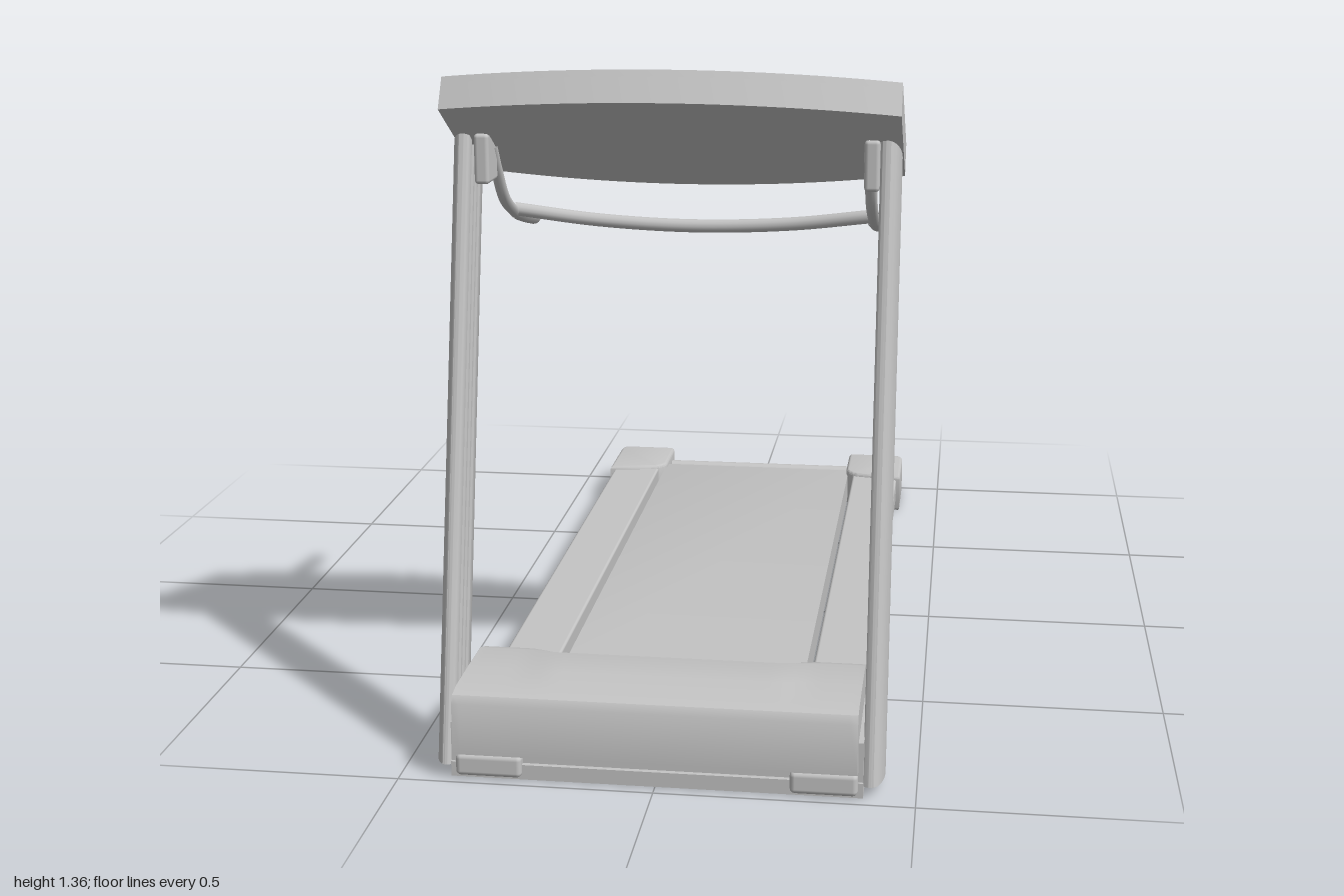
import * as THREE from 'three';
import { toCreasedNormals } from 'three/addons/utils/BufferGeometryUtils.js';
import { RoundedBoxGeometry } from 'three/addons/geometries/RoundedBoxGeometry.js';
import { ParametricGeometry } from 'three/addons/geometries/ParametricGeometry.js';

const V = (x, y, z) => new THREE.Vector3(x, y, z);
const shapeOf = pts => new THREE.Shape(pts.map(p => new THREE.Vector2(p[0], p[1])));

// Plan outline (x, z) extruded downward from the height top
function planExtrude(shape, top, depth, bevel = 0) {
  const g = new THREE.ExtrudeGeometry(shape, {
    depth: depth - 2 * bevel, bevelEnabled: bevel > 0, bevelSize: bevel, bevelOffset: -bevel,
    bevelThickness: bevel, bevelSegments: 3, curveSegments: 24,
  });
  g.rotateX(Math.PI / 2).translate(0, top - bevel, 0);
  return toCreasedNormals(g, 0.6);
}

// Side outline (z, y) extruded across x between x0 and x1
function sideExtrude(pts, x0, x1) {
  const g = new THREE.ExtrudeGeometry(shapeOf(pts), { depth: x1 - x0, bevelEnabled: false });
  g.rotateY(-Math.PI / 2).translate(x1, 0, 0);
  return g;
}

const tube = (pts, r, n = 40) =>
  new THREE.TubeGeometry(new THREE.CatmullRomCurve3(pts), n, r, 12, false);

// Console outline with bowed front and rear edges, inset by i
function consoleOutline(P, i) {
  const s = new P();
  s.moveTo(-0.44 + i, -0.345 + i);
  s.quadraticCurveTo(0, -0.485 + i, 0.44 - i, -0.345 + i);
  s.lineTo(0.44 - i, -0.045 - i);
  s.quadraticCurveTo(0, 0.045 - i, -0.44 + i, -0.045 - i);
  s.closePath();
  return s;
}

export function createModel() {
  const model = new THREE.Group();
  model.name = 'treadmill';
  const grey = new THREE.MeshStandardMaterial({ color: 0xc4c4c4, side: THREE.DoubleSide });
  grey.name = 'light grey';
  const add = (name, geo, x = 0, y = 0, z = 0, parent = model) => {
    const m = new THREE.Mesh(geo, grey);
    m.name = name;
    m.position.set(x, y, z);
    parent.add(m);
    return m;
  };
  const box = (name, w, h, d, x, y, z, parent) =>
    add(name, new THREE.BoxGeometry(w, h, d), x, y, z, parent);
  const roller = (name, r, len, y, z) =>
    add(name, new THREE.CylinderGeometry(r, r, len, 24).rotateZ(Math.PI / 2), 0, y, z);

  // Running belt with rounded rear end, and the rear roller
  add('runningBelt', toCreasedNormals(sideExtrude([
    [0.66, 0.018], [0.66, 0.085], [-0.885, 0.085], [-0.905, 0.076], [-0.915, 0.052],
    [-0.905, 0.028], [-0.885, 0.018],
  ], -0.255, 0.255), 0.9));
  roller('rearRoller', 0.024, 0.54, 0.052, -0.95);

  // Base tray under the motor
  add('baseTray', sideExtrude([[0.975, 0.005], [0.975, 0.035], [0.54, 0.035], [0.54, 0.012], [0.6, 0.005]], -0.4, 0.4));
  box('frontCrossMember', 0.76, 0.05, 0.03, 0, 0.045, 0.95);

  // Motor hood: a cross-section that changes from the scooped middle to the raised shoulders
  const shoulder = [[0.975, 0.055], [1, 0.062], [1, 0.165], [0.99, 0.18], [0.96, 0.186],
    [0.86, 0.187], [0.76, 0.185], [0.72, 0.172], [0.66, 0.138], [0.615, 0.112], [0.585, 0.098], [0.56, 0.085]];
  const middle = [[0.975, 0.055], [1, 0.062], [1, 0.165], [0.99, 0.18], [0.96, 0.186],
    [0.88, 0.191], [0.79, 0.195], [0.765, 0.183], [0.73, 0.14], [0.69, 0.108], [0.655, 0.092], [0.63, 0.085]];
  const last = shoulder.length - 1;
  const hood = new ParametricGeometry((u, v, out) => {
    const x = (u * 2 - 1) * 0.39, k = THREE.MathUtils.smoothstep(Math.abs(x), 0.21, 0.3);
    const i = Math.round(v * last), a = middle[i], b = shoulder[i];
    out.set(x, a[1] + (b[1] - a[1]) * k, a[0] + (b[0] - a[0]) * k);
  }, 52, last);
  add('motorHood', toCreasedNormals(hood, 0.6));

  for (const s of [1, -1]) {
    const side = new THREE.Group();
    side.name = s > 0 ? 'leftSide' : 'rightSide';
    model.add(side);
    const put = (name, geo, x = 0, y = 0, z = 0) => add(name, geo, x, y, z, side);

    // Hood cheek and the lower side cover
    put('hoodCheek', new THREE.ShapeGeometry(shapeOf([...shoulder, [0.56, 0.035], [0.975, 0.035]]))
      .rotateY(-Math.PI / 2), s * 0.39);
    const cover = [[0.97, 0.012], [0.97, 0.115], [0.73, 0.12], [0.68, 0.108], [0.63, 0.09], [0.58, 0.088], [0.54, 0.088], [0.54, 0.03], [0.79, 0.03], [0.79, 0.012]];
    put('sideCover', sideExtrude(cover, s > 0 ? 0.385 : -0.4, s > 0 ? 0.4 : -0.385));
    put('frontFoot', new RoundedBoxGeometry(0.13, 0.045, 0.06, 2, 0.01), s * 0.325, 0.032, 0.955);

    // Foot rail with a lower frame strip
    put('footRail', new RoundedBoxGeometry(0.12, 0.058, 1.5, 2, 0.006), s * 0.33, 0.062, -0.16);
    put('lowerFrame', new THREE.BoxGeometry(0.1, 0.012, 1.4), s * 0.325, 0.019, -0.14);

    // Rear end cap
    const cap = new THREE.Shape();
    cap.moveTo(s * 0.265, -1);
    cap.lineTo(s * 0.375, -1);
    cap.quadraticCurveTo(s * 0.4, -1, s * 0.4, -0.97);
    cap.lineTo(s * 0.4, -0.79);
    cap.lineTo(s * 0.285, -0.81);
    cap.quadraticCurveTo(s * 0.25, -0.825, s * 0.25, -0.86);
    cap.lineTo(s * 0.25, -0.985);
    cap.quadraticCurveTo(s * 0.25, -1, s * 0.265, -1);
    put('rearEndCap', planExtrude(cap, 0.1, 0.096, 0.008));

    // Leaning upright: rounded outside, grooved inside, tapering upward
    const sec = new THREE.Shape();
    sec.moveTo(s * 0.399, -0.062);
    sec.quadraticCurveTo(s * 0.402, -0.07, s * 0.415, -0.07);
    sec.bezierCurveTo(s * 0.447, -0.06, s * 0.447, 0.06, s * 0.415, 0.07);
    sec.quadraticCurveTo(s * 0.402, 0.07, s * 0.399, 0.062);
    for (const z of [0.03, 0, -0.03]) {
      sec.lineTo(s * 0.399, z + 0.01);
      sec.lineTo(s * 0.408, z + 0.007);
      sec.lineTo(s * 0.408, z - 0.007);
      sec.lineTo(s * 0.399, z - 0.01);
    }
    sec.closePath();
    const up = planExtrude(sec, 1, 1);
    const p = up.attributes.position;
    for (let i = 0; i < p.count; i++) {
      const t = p.getY(i), z = p.getZ(i);
      p.setY(i, 0.025 + t * (1.16 + z * 0.55));
      p.setZ(i, 0.9 - t * 0.255 + z * (1 - 0.18 * t));
    }
    up.computeVertexNormals();
    put('upright', toCreasedNormals(up, 0.6));

    // Handlebar, its grip and its bracket
    const x = s * 0.375;
    put('handlebar', tube([V(x, 1.19, 0.62), V(x, 1.13, 0.575), V(x, 1.07, 0.52), V(x, 1.03, 0.44), V(x, 1.005, 0.36), V(x, 0.982, 0.25)], 0.012));
    put('handGrip', tube([V(x, 1.022, 0.41), V(x, 1.003, 0.34), V(x, 0.982, 0.245)], 0.016, 12));
    put('gripEnd', new THREE.SphereGeometry(0.016, 12, 8), x, 0.982, 0.245);
    put('handlebarBracket', new RoundedBoxGeometry(0.03, 0.1, 0.08, 2, 0.008), s * 0.382, 1.17, 0.64);
  }

  // Bowed bar joining the handlebars
  add('crossBar', tube([V(-0.375, 1.03, 0.425), V(-0.2, 1.005, 0.397), V(0, 0.995, 0.387),
    V(0.2, 1.005, 0.397), V(0.375, 1.03, 0.425)], 0.014));

  // Tilted console: body, raised rim and rounded rear edge
  const panel = new THREE.Group();
  panel.name = 'console';
  panel.position.set(0, 1.36, 0.78);
  panel.rotation.x = -Math.PI / 6;
  model.add(panel);
  const onPanel = (name, geo) => add(name, geo, 0, 0, 0, panel);
  onPanel('consoleBody', planExtrude(consoleOutline(THREE.Shape, 0), -0.014, 0.054));
  const rim = consoleOutline(THREE.Shape, 0);
  rim.holes.push(consoleOutline(THREE.Path, 0.022));
  onPanel('consoleRim', planExtrude(rim, 0, 0.014));
  const rear = [-1, -0.5, 0, 0.5, 1].map(t => V(t * 0.42, -0.034, -0.392 + 0.062 * t * t));
  onPanel('rearRoll', tube(rear, 0.03));

  // Bowl-shaped instrument plate and its thin buttons
  const plate = new THREE.Shape();
  plate.moveTo(-0.34, -0.07);
  plate.quadraticCurveTo(0, 0.0, 0.34, -0.07);
  plate.quadraticCurveTo(0.27, -0.31, 0, -0.31);
  plate.quadraticCurveTo(-0.27, -0.31, -0.34, -0.07);
  onPanel('instrumentPlate', planExtrude(plate, -0.004, 0.01));
  box('display', 0.16, 0.004, 0.06, 0, -0.003, -0.13, panel);
  for (const sx of [-1, 1]) for (const z of [-0.105, -0.13, -0.155])
    box('button', 0.05, 0.004, 0.012, sx * 0.135, -0.003, z, panel);

  // Safety key holder
  const frame = shapeOf([[-0.085, -0.405], [0.085, -0.405], [0.085, -0.305], [-0.085, -0.305]]);
  frame.holes.push(new THREE.Path([[-0.06, -0.385], [0.06, -0.385], [0.06, -0.325], [-0.06, -0.325]]
    .map(q => new THREE.Vector2(...q))));
  onPanel('keyFrame', planExtrude(frame, 0.006, 0.02));
  box('safetyKey', 0.045, 0.018, 0.04, 0, -0.008, -0.355, panel);
  add('keyStud', new THREE.CylinderGeometry(0.01, 0.01, 0.03, 12).rotateX(Math.PI / 2), 0, -0.012, -0.425, panel);
  return model;
}
